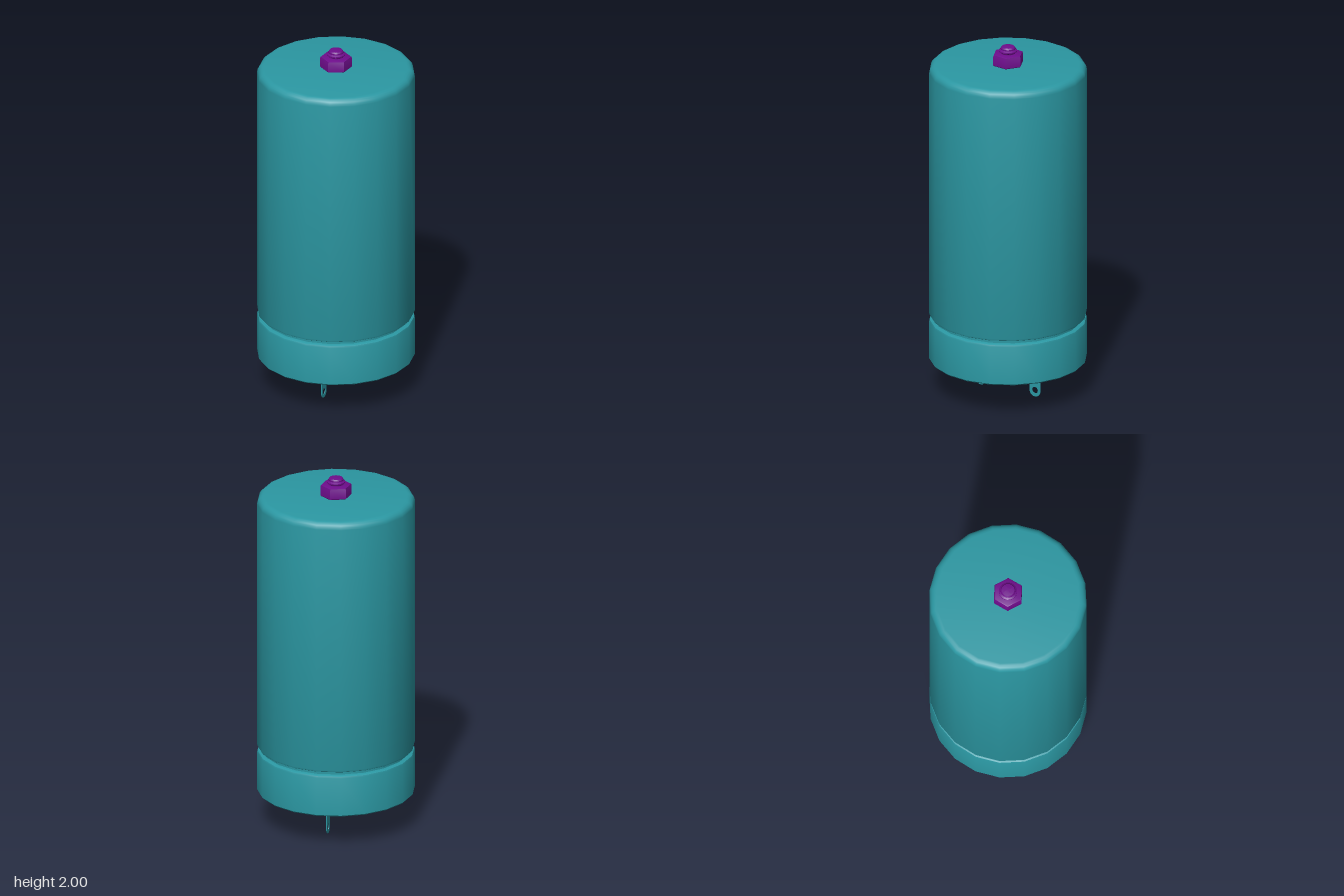
import * as THREE from 'three';
import { toCreasedNormals } from 'three/addons/utils/BufferGeometryUtils.js';

const paint = (color) => new THREE.MeshStandardMaterial({ color });
const teal = paint(0x2b98a3), tan = paint(0xb5a468), purple = paint(0x6f0d8c);

// Turned part from a bottom-to-top profile of [radius, y]
function turned(name, profile, sides, material, crease = 0.6) {
  const points = profile.map(([r, y]) => new THREE.Vector2(r, y));
  const geometry = toCreasedNormals(new THREE.LatheGeometry(points, sides), crease);
  const mesh = new THREE.Mesh(geometry, material);
  mesh.name = name;
  return mesh;
}

// Quarter-round corner from the side wall up onto the top face
function topRound(r, y, radius, steps) {
  return Array.from({ length: steps + 1 }, (_, i) => {
    const a = (i / steps) * Math.PI / 2;
    return [r - radius + radius * Math.cos(a), y - radius + radius * Math.sin(a)];
  });
}

// Flat solder lug with a rounded, pierced end
function makeTerminal(z) {
  const half = 0.034, thickness = 0.004;
  const shape = new THREE.Shape();
  shape.moveTo(half, 0.17);
  shape.lineTo(-half, 0.17);
  shape.lineTo(-half, half);
  shape.absarc(0, half, half, Math.PI, Math.PI * 2, false);
  shape.closePath();
  const hole = new THREE.Path();
  hole.absarc(0, 0.037, 0.018, 0, Math.PI * 2, true);
  shape.holes.push(hole);
  const geometry = new THREE.ExtrudeGeometry(shape, { depth: thickness, bevelEnabled: false, curveSegments: 10 });
  geometry.translate(0, 0, -thickness / 2).rotateY(Math.PI / 2);
  const mesh = new THREE.Mesh(toCreasedNormals(geometry, 0.6), teal);
  mesh.position.z = z;
  mesh.name = z > 0 ? 'frontTerminal' : 'backTerminal';
  return mesh;
}

export function createModel() {
  const group = new THREE.Group();
  group.name = 'capacitor';

  // Can with crimp groove and rounded top edge
  group.add(turned('can', [
    [0, 0.193], [0.422, 0.193], [0.428, 0.2],
    [0.428, 0.415], [0.425, 0.424], [0.418, 0.428], [0.404, 0.43],
    [0.404, 0.446], [0.418, 0.448], [0.425, 0.452], [0.428, 0.461],
    ...topRound(0.428, 1.895, 0.04, 5), [0, 1.895],
  ], 20, teal));

  // Insulating disc under the can
  group.add(turned('baseDisc', [
    [0, 0.156], [0.292, 0.156], [0.298, 0.162], [0.298, 0.195], [0, 0.195],
  ], 20, tan));

  // Hex nut with chamfered edges
  const nut = turned('nut', [
    [0, 1.893], [0.08, 1.893], [0.086, 1.899], [0.086, 1.95], [0.083, 1.957], [0.076, 1.96], [0, 1.96],
  ], 6, purple, 0.7);
  nut.rotation.y = -7 * Math.PI / 180;
  group.add(nut);

  // Threaded stud end
  group.add(turned('stud', [
    [0, 1.95], [0.04, 1.95], [0.04, 1.964], [0.05, 1.971], [0.05, 1.977],
    [0.04, 1.983], [0.04, 1.99], [0.035, 1.997], [0.015, 2], [0, 2],
  ], 20, purple));

  for (const side of [1, -1]) group.add(makeTerminal(side * 0.172));
  return group;
}
